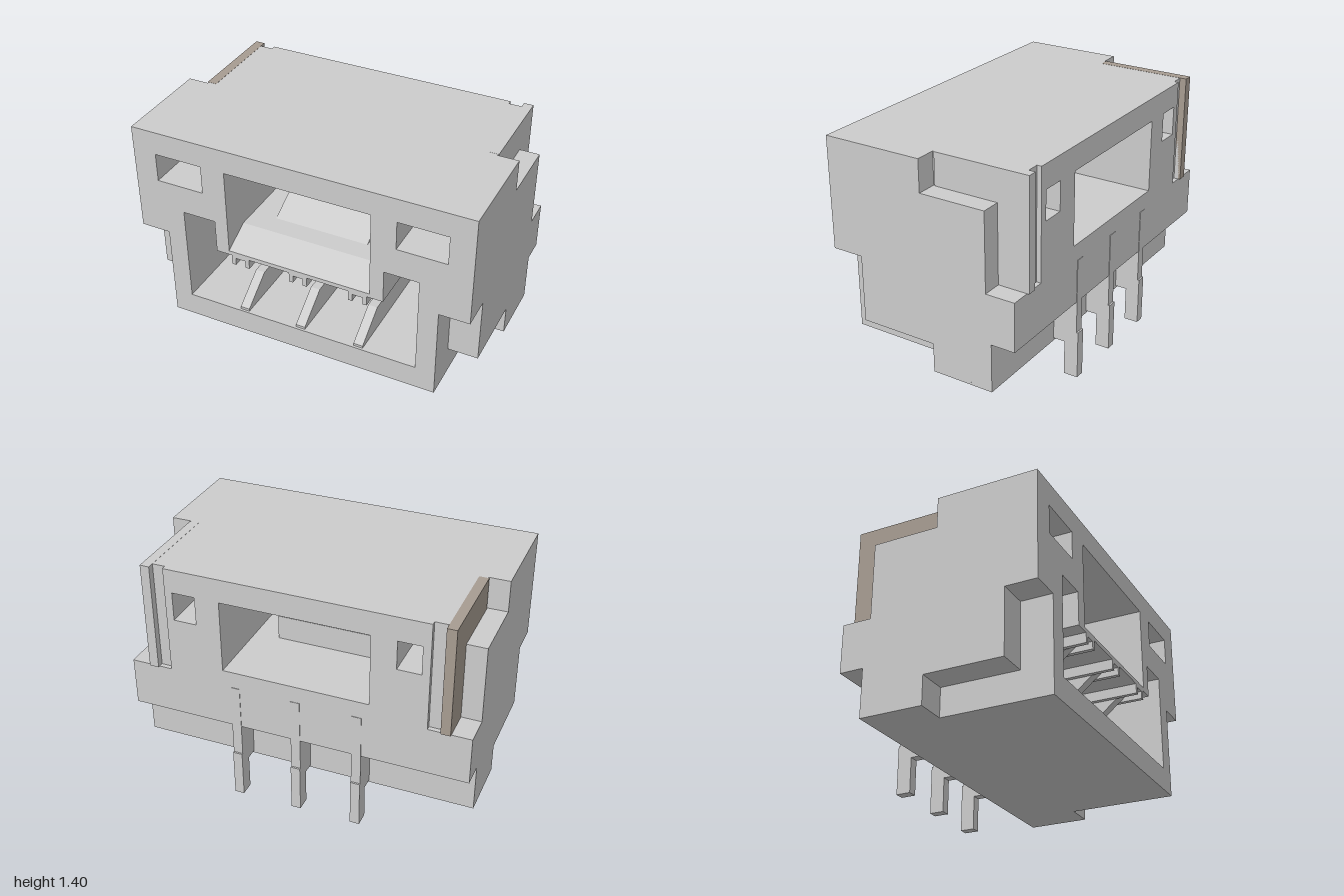
import * as THREE from 'three';

const grey = new THREE.MeshStandardMaterial({ color: 0xcccccc, flatShading: true });
const taupe = new THREE.MeshStandardMaterial({ color: 0xa79c91, flatShading: true });
const contactX = [-0.36, 0, 0.36];

const toPoints = (pts) => pts.map(([x, y]) => new THREE.Vector2(x, y));
const rect = (x0, x1, y0, y1) => [[x0, y0], [x1, y0], [x1, y1], [x0, y1]];
const mirror = (pts) => pts.map(([x, y]) => [-x, y]).reverse();

function mesh(name, geometry, material = grey) {
  const m = new THREE.Mesh(geometry, material);
  m.name = name;
  return m;
}

// Mating cavity: wide side slots and a low ceiling with slotted teeth over each contact
function cavityOutline() {
  const pts = [[-0.71, 0.33], [0.71, 0.33], [0.71, 0.92], [0.51, 0.92], [0.51, 0.72]];
  for (const c of [...contactX].reverse()) {
    pts.push([c + 0.055, 0.72], [c + 0.055, 0.66], [c + 0.03, 0.66], [c + 0.03, 0.705],
      [c - 0.03, 0.705], [c - 0.03, 0.66], [c - 0.055, 0.66], [c - 0.055, 0.72]);
  }
  pts.push([-0.51, 0.72], [-0.51, 0.92], [-0.71, 0.92]);
  return pts;
}

// One slab of the housing between two depths
function housingSlab({ z0, z1, bottom = 0.19, lowCut, topCut, sill = 0.83, pocket = 0.71, cavity, groove }) {
  const half = lowCut ? [[0.825, bottom], [0.825, lowCut], [1, lowCut]] : [[1, bottom]];
  if (topCut) half.push([1, topCut], [0.88, topCut], [0.88, 1.4]);
  else half.push([1, 1.4]);
  if (groove) half.push([0.83, 1.4], [0.83, 0.76], [0.755, 0.76], [0.755, 1.4]);
  const shape = new THREE.Shape(toPoints([...half, ...mirror(half)]));
  const holes = [
    rect(-0.43, 0.43, sill, 1.26),
    rect(0.575, pocket, 1.09, 1.26),
    rect(-pocket, -0.575, 1.09, 1.26),
  ];
  if (cavity) holes.push(cavityOutline());
  for (const h of holes) shape.holes.push(new THREE.Path(toPoints(h)));
  const g = new THREE.ExtrudeGeometry(shape, { depth: z1 - z0, bevelEnabled: false });
  return g.translate(0, 0, z0);
}

// Side profile given as (z, y), extruded across x and centred on x = cx
function acrossX(profile, width, cx = 0) {
  const g = new THREE.ExtrudeGeometry(new THREE.Shape(toPoints(profile)),
    { depth: width, bevelEnabled: false });
  return g.rotateY(-Math.PI / 2).translate(cx + width / 2, 0, 0);
}

export function createModel() {
  const model = new THREE.Group();
  model.name = 'pinHeaderConnector';

  // Housing, front to back
  const housing = new THREE.Group();
  housing.name = 'housing';
  const slabs = [
    { z0: 0.4, z1: 0.585, lowCut: 0.75, sill: 0.745, pocket: 0.86, cavity: true },
    { z0: -0.01, z1: 0.4, lowCut: 0.36, pocket: 0.86, cavity: true },
    { z0: -0.06, z1: -0.01, lowCut: 0.36, topCut: 1.215, cavity: true },
    { z0: -0.3, z1: -0.06, topCut: 1.215, cavity: true },
    { z0: -0.4, z1: -0.3, topCut: 1.215 },
    { z0: -0.43, z1: -0.4, topCut: 0.76 },
    { z0: -0.545, z1: -0.43, bottom: 0.475, topCut: 0.76 },
    { z0: -0.572, z1: -0.545, bottom: 0.475, topCut: 0.76, groove: true },
  ];
  slabs.forEach((s, i) => housing.add(mesh(`housingSlab${i + 1}`, housingSlab(s))));

  // Chamfered sill and latch ramp in the main window
  housing.add(mesh('windowSill', acrossX([[0.4, 0.745], [0.585, 0.745], [0.42, 0.83], [0.4, 0.83]], 0.86)));
  housing.add(mesh('latchRamp', acrossX([[-0.145, 0.82], [0.3, 0.82], [0.3, 0.83], [0.02, 0.975], [-0.145, 0.975]], 0.57)));
  model.add(housing);

  // Side retention plates
  for (const side of [-1, 1]) {
    const plate = new THREE.BoxGeometry(0.055, 0.641, 0.565);
    plate.translate(side * 0.8575, 1.0805, -0.3025);
    model.add(mesh(side < 0 ? 'rightPlate' : 'leftPlate', plate, side < 0 ? taupe : grey));
  }

  // Forked contacts with a solder leg at the back
  const contact = [
    [0.57, 0.32], [0.57, 0.345], [0.38, 0.48], [-0.28, 0.48], [-0.28, 0.58], [0.35, 0.58],
    [0.5, 0.705], [-0.575, 0.73], [-0.575, 0.285], [-0.585, 0.285], [-0.585, 0],
    [-0.5, 0], [-0.5, 0.205], [-0.42, 0.205], [-0.42, 0.32],
  ];
  for (const x of contactX) model.add(mesh('contact', acrossX(contact, 0.056, x)));

  return model;
}
